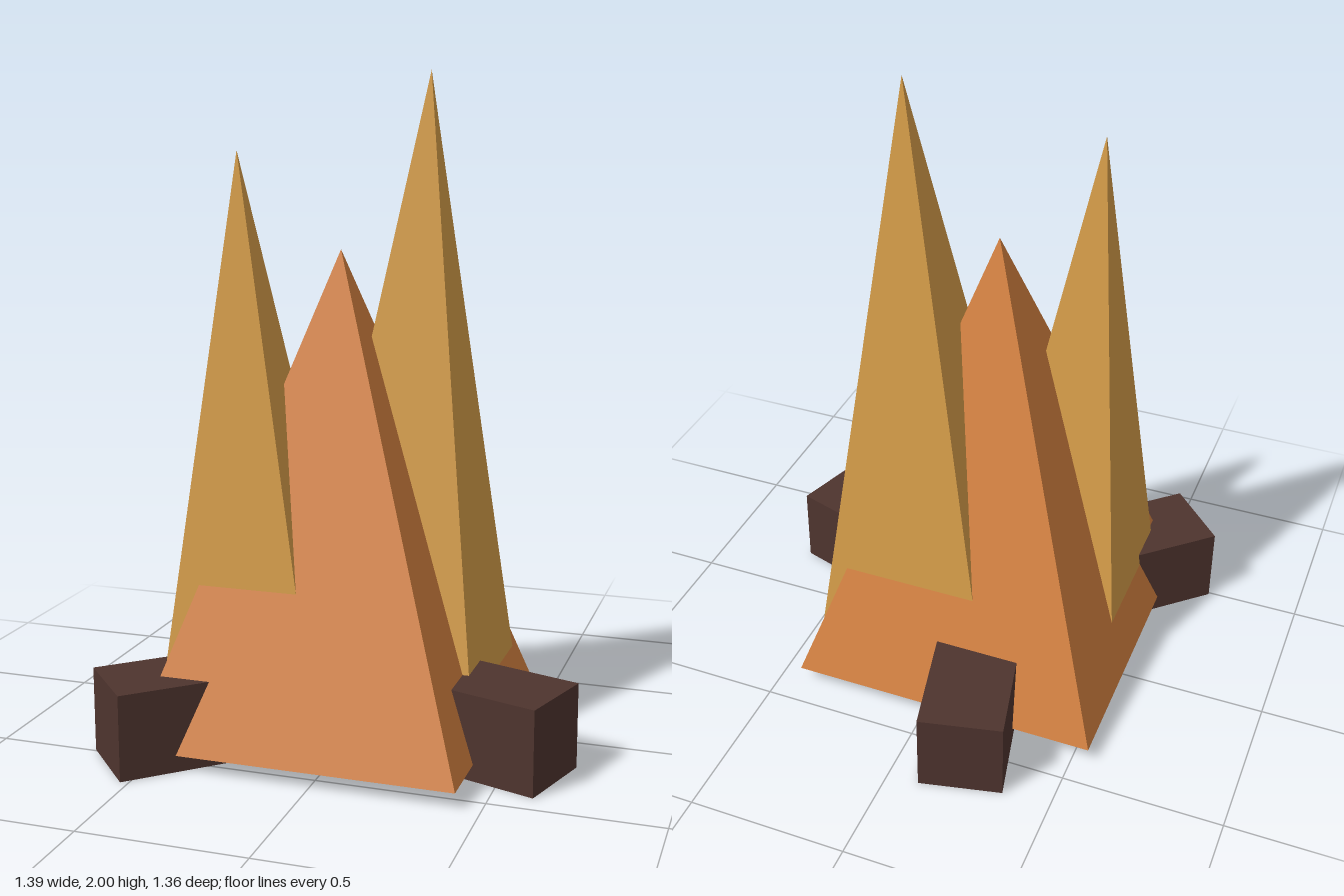
import * as THREE from 'three';

const logBrown = new THREE.MeshStandardMaterial({ color: 0x4e342e, flatShading: true });
const flameOrange = new THREE.MeshStandardMaterial({ color: 0xd2803f, flatShading: true });
const flameYellow = new THREE.MeshStandardMaterial({ color: 0xd39b48, flatShading: true });
logBrown.name = 'log brown';
flameOrange.name = 'flame orange';
flameYellow.name = 'flame yellow';

// Square pyramid whose tip may lean away from the centre of its base
function flame(name, material, half, [baseX, baseY, baseZ], [tipX, tipY, tipZ]) {
  const height = tipY - baseY;
  const indexed = new THREE.ConeGeometry(half * Math.SQRT2, height, 4);
  indexed.rotateY(Math.PI / 4);
  indexed.translate(baseX, baseY + height / 2, baseZ);
  const geometry = indexed.toNonIndexed();
  const p = geometry.attributes.position;
  for (let i = 0; i < p.count; i++) {
    if (p.getY(i) > baseY + height / 2) p.setXYZ(i, tipX, tipY, tipZ);
  }
  geometry.computeVertexNormals();
  const mesh = new THREE.Mesh(geometry, material);
  mesh.name = name;
  return mesh;
}

export function createModel() {
  const model = new THREE.Group();
  model.name = 'campfire';

  // Flames
  model.add(
    flame('mainFlame', flameOrange, 0.49, [-0.06, 0.05, 0.08], [-0.06, 1.48, 0.08]),
    flame('tallFlame', flameYellow, 0.294, [0.108, 0.055, -0.041], [0.172, 2, -0.068]),
    flame('smallFlame', flameYellow, 0.254, [-0.257, 0.055, 0.215], [-0.317, 1.77, 0.25]),
  );

  // Three logs crossing under the main flame, each given by its outward direction
  const outer = 0.75, inner = 0.3, thick = 0.258;
  const directions = [[-0.22, -0.976], [0.954, 0.3], [-0.736, 0.677]];
  directions.forEach(([dx, dz], i) => {
    const log = new THREE.Mesh(new THREE.BoxGeometry(outer + inner, thick, thick), logBrown);
    const mid = (outer - inner) / 2;
    log.position.set(-0.06 + dx * mid, thick / 2, 0.08 + dz * mid);
    log.rotation.y = Math.atan2(-dz, dx);
    log.name = `log${i + 1}`;
    model.add(log);
  });

  return model;
}
